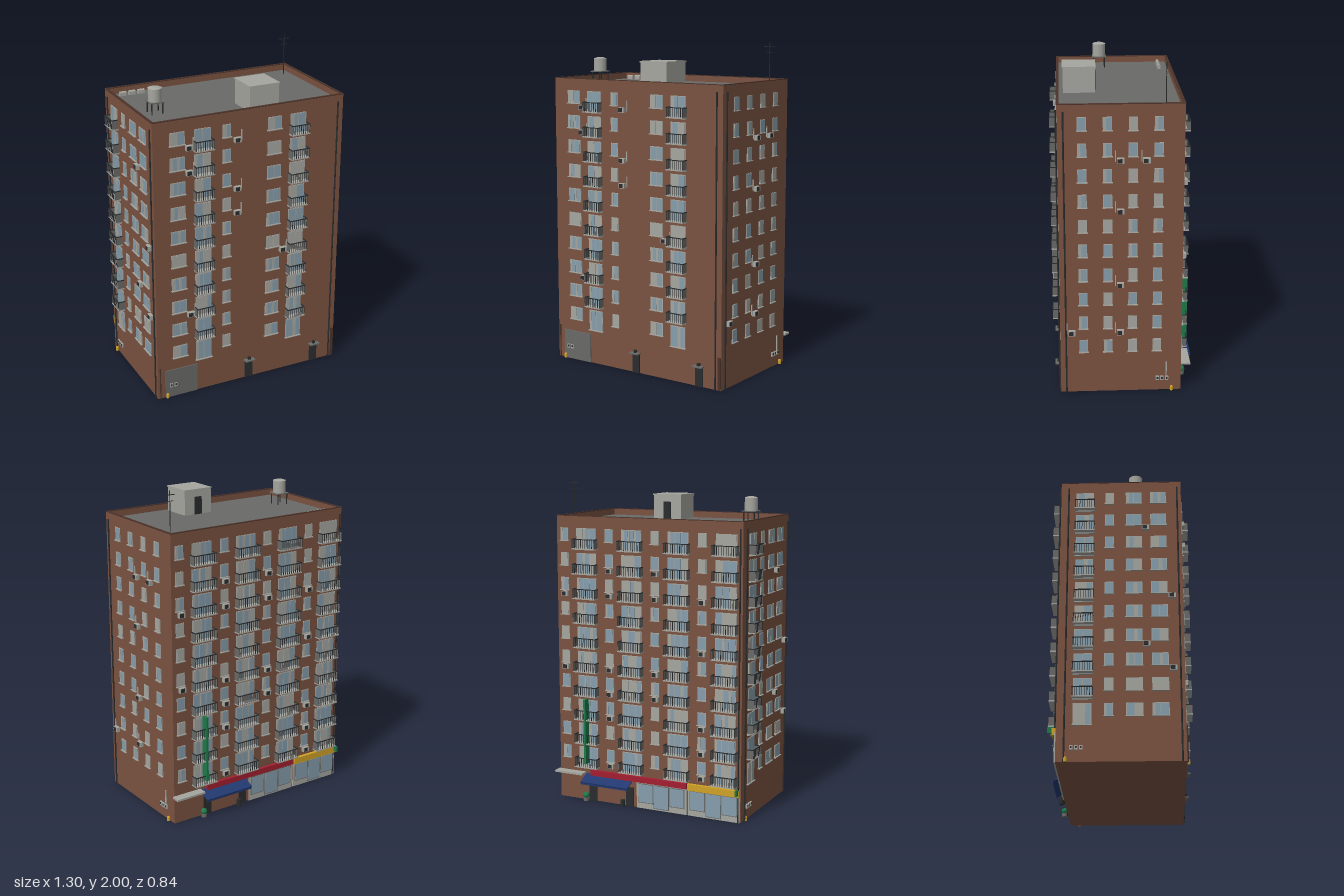
import * as THREE from 'three';
import { mergeGeometries } from 'three/addons/utils/BufferGeometryUtils.js';

const COLORS = {
  brick: 0x7b5341, trim: 0x4a3229, slate: 0x696967, light: 0xa6a6a0, glass: 0x869eac,
  dark: 0x2a2c2e, navy: 0x22386f, red: 0xa31f30, yellow: 0xd0a226, green: 0x1f7a4a,
};
const ROW0 = 0.302, STEP = 0.1518, ROOF = 1.742, TOP = 1.783;
const X0 = -0.61, X1 = 0.626, Z0 = -0.346, Z1 = 0.374;

export function createModel() {
  const model = new THREE.Group();
  model.name = 'apartmentBlock';
  const mats = {};
  for (const [name, color] of Object.entries(COLORS)) {
    mats[name] = new THREE.MeshStandardMaterial({ color });
    mats[name].name = name;
  }

  // Wall frames: local x runs along the wall, y is up, z points outward
  const frame = (angle, x, z) => new THREE.Matrix4().makeRotationY(angle).setPosition(x, 0, z);
  const world = new THREE.Matrix4();
  const front = frame(0, 0, Z1), back = frame(Math.PI, 0, Z0);
  const right = frame(Math.PI / 2, X1, 0), left = frame(-Math.PI / 2, X0, 0);

  // Pieces with the same part name and colour are merged into one mesh
  const buckets = new Map();
  const put = (part, mat, geo, m = world) => {
    const key = part + '|' + mat;
    if (!buckets.has(key)) buckets.set(key, []);
    buckets.get(key).push(geo.applyMatrix4(m));
  };
  const box = (part, mat, w, h, d, x, y, z, m) =>
    put(part, mat, new THREE.BoxGeometry(w, h, d).translate(x, y, z), m);
  const span = (part, mat, xa, xb, ya, yb, za, zb, m) =>
    box(part, mat, xb - xa, yb - ya, zb - za, (xa + xb) / 2, (ya + yb) / 2, (za + zb) / 2, m);
  const rod = (part, mat, r, h, x, y, z, m, sides = 8) =>
    put(part, mat, new THREE.CylinderGeometry(r, r, h, sides).translate(x, y + h / 2, z), m);

  let seed = 7;
  const rand = () => (seed = (seed * 16807) % 2147483647) / 2147483647;

  // Window: pale frame, glass panes, and a curtain over part of some panes
  function windowUnit(m, u, y, w, h, panes) {
    box('windowFrames', 'light', w, h, 0.006, u, y, 0.001, m);
    box('windowSills', 'light', w + 0.008, 0.005, 0.014, u, y - h / 2, 0.005, m);
    const pw = (w - 0.004) / panes;
    for (let i = 0; i < panes; i++) {
      const px = u - w / 2 + 0.002 + pw * (i + 0.5), gw = pw - 0.005, gh = h - 0.009;
      box('windowGlass', 'glass', gw, gh, 0.003, px, y, 0.0035, m);
      const r = rand();
      if (r < 0.3) box('curtains', 'light', gw, gh, 0.002, px, y, 0.005, m);
      else if (r < 0.65) {
        const cw = gw * (0.2 + 0.3 * rand());
        box('curtains', 'light', cw, gh, 0.002, px - (gw - cw) / 2, y, 0.005, m);
      }
    }
  }

  // Balcony: slab, solid ends and a barred railing
  function balcony(m, u, y, w, d) {
    box('balconySlabs', 'light', w, 0.007, d, u, y, d / 2, m);
    for (const s of [-1, 1]) {
      box('balconyEnds', 'slate', 0.004, 0.054, d - 0.004, u + s * (w / 2 - 0.003), y + 0.03, d / 2, m);
      box('balconyRails', 'dark', 0.005, 0.005, d, u + s * (w / 2 - 0.003), y + 0.058, d / 2, m);
    }
    box('balconyRails', 'dark', w, 0.005, 0.005, u, y + 0.058, d - 0.003, m);
    const n = Math.round(w / 0.015);
    for (let i = 0; i <= n; i++)
      box('balconyRails', 'dark', 0.0028, 0.056, 0.0028, u - w / 2 + 0.003 + (w - 0.006) * i / n, y + 0.03, d - 0.003, m);
  }

  // Air conditioner with a round grille and an optional riser pipe
  function cooler(m, u, y, pipe = 0) {
    box('airConditioners', 'light', 0.042, 0.03, 0.022, u, y, 0.012, m);
    box('coolerGrilles', 'dark', 0.026, 0.024, 0.003, u - 0.004, y, 0.0235, m);
    if (pipe) box('coolerPipes', 'light', 0.006, 0.065, 0.006, u + pipe, y + 0.025, 0.004, m);
  }

  // Main block, roof deck, parapet and coping
  span('walls', 'brick', X0, X1, 0, ROOF - 0.004, Z0, Z1);
  span('roofDeck', 'slate', X0 + 0.01, X1 - 0.01, ROOF - 0.004, ROOF, Z0 + 0.01, Z1 - 0.01);
  const t = 0.014;
  const ring = (part, mat, ya, yb, o) => {
    for (const [a, b] of [[Z0 - o, Z0 + t], [Z1 - t, Z1 + o]]) span(part, mat, X0 - o, X1 + o, ya, yb, a, b);
    for (const [a, b] of [[X0 - o, X0 + t], [X1 - t, X1 + o]]) span(part, mat, a, b, ya, yb, Z0 + t, Z1 - t);
  };
  ring('parapet', 'brick', ROOF - 0.004, TOP - 0.004, 0);
  ring('coping', 'trim', TOP - 0.004, TOP, 0.002);

  // Windows and balconies on all ten floors
  for (let i = 0; i < 10; i++) {
    const y = ROW0 + STEP * i, low = y - 0.025, slab = y - 0.084;
    for (const [u, w] of [[-0.46, 0.095], [-0.147, 0.052], [0.165, 0.092]])
      windowUnit(front, u, y, w, 0.08, w > 0.06 ? 2 : 1);
    for (const u of [-0.302, 0.321]) {
      windowUnit(front, u, low, 0.105, 0.13, 2);
      if (i > 0) balcony(front, u, slab, 0.12, 0.045);
    }
    for (let k = 0; k < 4; k++) {
      const x = -0.507 + 0.309 * k;
      windowUnit(back, -x, low, 0.135, 0.13, 3);
      balcony(back, -x, slab, 0.157, 0.046);
      windowUnit(back, -x - 0.152, y, 0.055, 0.08, 1);
      if (rand() < 0.55) cooler(back, -x - 0.147, y - 0.061);
      windowUnit(right, -0.236 + 0.145 * k, y, 0.052, 0.08, 1);
    }
    windowUnit(left, -0.202, low, 0.105, 0.13, 2);
    if (i > 0) balcony(left, -0.202, slab, 0.12, 0.043);
    windowUnit(left, -0.055, y, 0.052, 0.08, 1);
    for (const u of [0.09, 0.236]) windowUnit(left, u, y, 0.095, 0.08, 2);
  }
  for (const [u, i] of [[-0.39, 9], [-0.082, 9], [-0.39, 8], [-0.082, 7], [-0.082, 6], [0.23, 4], [-0.39, 2]])
    cooler(front, u, ROW0 - 0.061 + STEP * i, 0.03);
  for (const [u, i] of [[-0.018, 8], [0.13, 8], [-0.018, 6], [-0.018, 3], [-0.018, 1], [-0.305, 1]])
    cooler(right, u, ROW0 - 0.061 + STEP * i, -0.028);
  for (const [u, i] of [[0.16, 8], [0.31, 5], [0.16, 3], [0.31, 2]])
    cooler(left, u, ROW0 - 0.061 + STEP * i);

  // Drainpipes near the corners
  for (const [m, u] of [[front, 0.588], [right, -0.34], [left, -0.3], [left, 0.35], [back, 0.595]])
    rod('drainpipes', 'dark', 0.005, 1.74, u, 0, 0.006, m);
  rod('cablePipe', 'trim', 0.004, 0.21, -0.595, 0, 0.004, front);
  box('cablePanel', 'trim', 0.02, 0.2, 0.004, 0.614, 0.1, 0.002, front);

  // Front base: stone panel and two entrances with canopies and lamps
  span('stonePanel', 'slate', -0.56, -0.348, 0, 0.185, 0, 0.006, front);
  for (const u of [0.008, 0.474]) {
    box('entranceDoors', 'dark', 0.052, 0.12, 0.008, u, 0.06, 0.003, front);
    box('entranceCanopies', 'slate', 0.068, 0.007, 0.034, u, 0.125, 0.017, front);
    box('entranceLamps', 'dark', 0.016, 0.016, 0.016, u, 0.137, 0.012, front);
  }

  // Utility meters and yellow standpipes
  const meter = (m, u) => {
    box('meters', 'light', 0.02, 0.026, 0.01, u, 0.08, 0.005, m);
    box('meterDials', 'dark', 0.01, 0.012, 0.002, u, 0.082, 0.011, m);
  };
  for (const u of [-0.525, -0.495]) meter(front, u);
  for (const u of [0.205, 0.232, 0.26]) meter(right, u);
  for (const u of [-0.26, -0.232, -0.205]) meter(left, u);
  box('meterPipe', 'light', 0.007, 0.105, 0.007, 0.257, 0.135, 0.004, right);
  for (const [m, u] of [[front, -0.55], [right, 0.29], [left, -0.29]]) {
    rod('standpipes', 'yellow', 0.01, 0.02, u, 0, 0.008, m, 10);
    put('standpipes', 'yellow', new THREE.SphereGeometry(0.01, 10, 6).translate(u, 0.02, 0.008), m);
  }

  // Two glazed shopfronts; back wall runs with u = -x
  for (const [a, b] of [[-0.08, 0.258], [0.268, 0.605]]) {
    span('shopSurrounds', 'light', a, b, 0, 0.172, 0, 0.008, back);
    const w = (b - a - 0.02) / 3;
    for (let i = 0; i < 3; i++) {
      const u = a + 0.01 + w * i, base = i === 1 ? 0.008 : 0.035;
      span('shopFrames', 'slate', u + 0.002, u + w - 0.002, base, 0.158, 0.008, 0.01, back);
      span('shopGlass', 'glass', u + 0.006, u + w - 0.006, base + 0.005, 0.153, 0.01, 0.012, back);
    }
  }
  span('redFascia', 'red', -0.4, 0.26, 0.165, 0.2, 0, 0.02, back);
  span('yellowFascia', 'yellow', 0.268, 0.605, 0.16, 0.2, 0, 0.022, back);

  // Corner shop: navy awning, stone canopy, door and window
  const awning = new THREE.BoxGeometry(0.33, 0.006, 0.086).rotateX(0.45).translate(-0.275, 0.15, 0.038);
  put('awning', 'navy', awning, back);
  span('awningValance', 'navy', -0.44, -0.11, 0.118, 0.132, 0.072, 0.075, back);
  span('cornerCanopy', 'light', -0.637, -0.44, 0.168, 0.18, 0, 0.055, back);
  box('cornerDoor', 'dark', 0.055, 0.12, 0.006, -0.13, 0.06, 0.003, back);
  box('cornerDoor', 'dark', 0.055, 0.12, 0.006, -0.39, 0.06, 0.003, back);

  // Hanging sign, small lit sign, planter and bin
  box('hangingSign', 'green', 0.014, 0.41, 0.044, -0.42, 0.45, 0.03, back);
  for (const y of [0.3, 0.6]) box('signBrackets', 'dark', 0.006, 0.006, 0.02, -0.42, y, 0.01, back);
  box('smallSign', 'green', 0.012, 0.036, 0.034, 0.595, 0.19, 0.03, back);
  rod('planter', 'slate', 0.017, 0.022, -0.43, 0, 0.024, back, 10);
  put('shrub', 'green', new THREE.SphereGeometry(0.02, 10, 8).translate(-0.43, 0.036, 0.024), back);
  rod('wasteBin', 'dark', 0.014, 0.042, -0.17, 0, 0.024, back, 10);

  // Stair house on the roof, with its door at the back
  span('stairHouse', 'light', 0.02, 0.21, ROOF, 1.895, 0.145, 0.335);
  span('stairHouseRoof', 'light', 0.016, 0.214, 1.89, 1.898, 0.141, 0.339);
  span('stairHouseDoor', 'dark', 0.09, 0.14, ROOF, 1.85, 0.14, 0.146);

  // Water tank on a four-legged stand
  const tx = -0.473, tz = 0.1;
  for (const sx of [-1, 1]) for (const sz of [-1, 1])
    rod('tankLegs', 'dark', 0.004, 0.07, tx + sx * 0.034, ROOF, tz + sz * 0.034);
  box('tankStand', 'slate', 0.088, 0.006, 0.088, tx, 1.812, tz);
  rod('waterTank', 'light', 0.04, 0.078, tx, 1.815, tz, world, 24);
  put('tankLid', 'light', new THREE.CylinderGeometry(0.02, 0.042, 0.007, 24).translate(tx, 1.896, tz));

  // Hooded roof vents
  for (const x of [-0.522, -0.463, -0.404]) {
    box('roofVents', 'light', 0.042, 0.018, 0.02, x, ROOF + 0.009, -0.28);
    put('roofVents', 'light', new THREE.CylinderGeometry(0.01, 0.01, 0.042, 12).rotateZ(Math.PI / 2).translate(x, ROOF + 0.018, -0.28));
  }

  // Aerial
  rod('aerialMast', 'dark', 0.0025, 2 - ROOF, 0.56, ROOF, -0.242);
  box('aerialArms', 'dark', 0.07, 0.004, 0.004, 0.56, 1.976, -0.242);
  box('aerialArms', 'dark', 0.045, 0.003, 0.003, 0.56, 1.94, -0.242);

  for (const [key, geos] of buckets) {
    const [part, mat] = key.split('|');
    const mesh = new THREE.Mesh(mergeGeometries(geos), mats[mat]);
    mesh.name = part;
    model.add(mesh);
  }
  return model;
}
